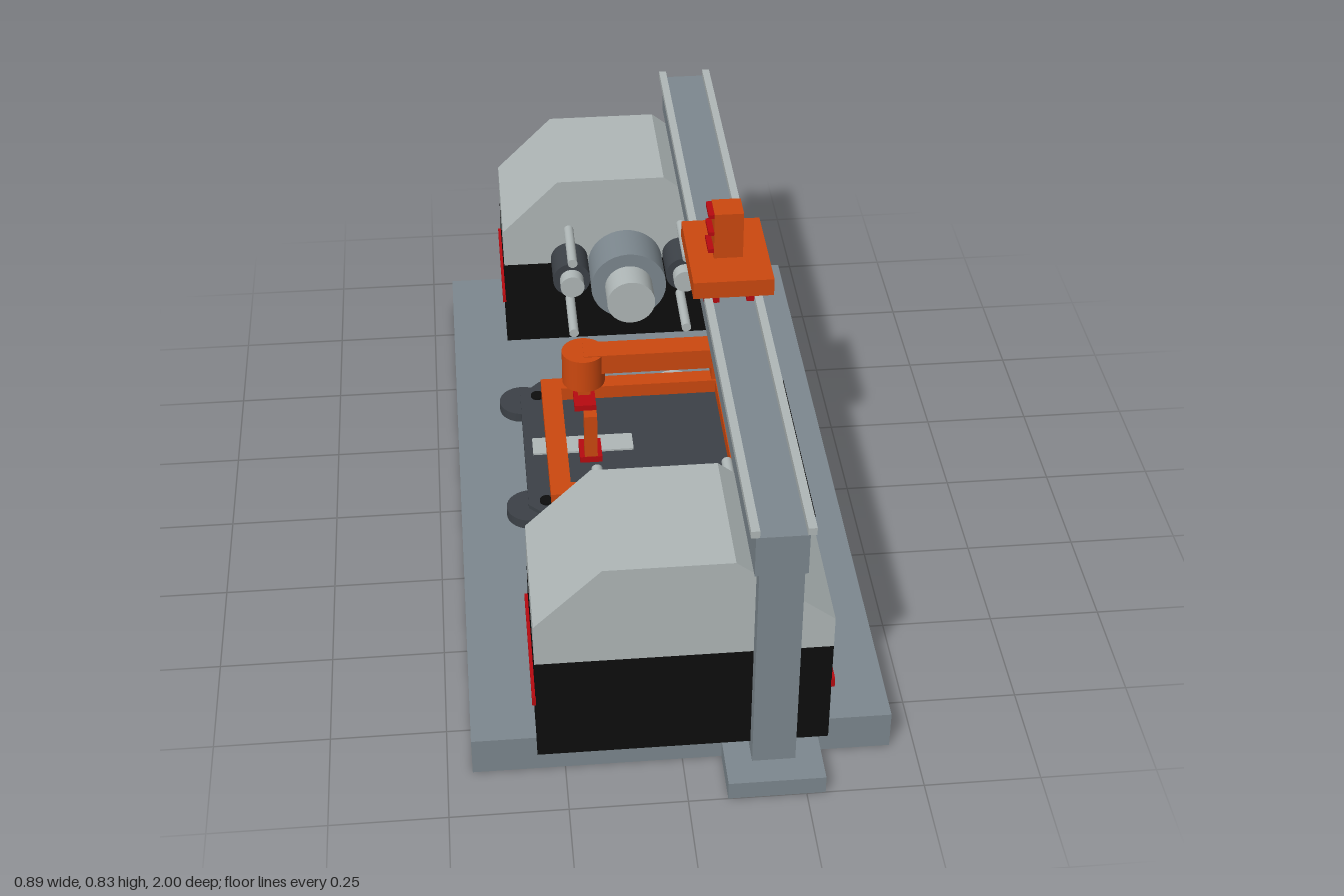
import * as THREE from 'three';

const mat = (name, color) => {
  const m = new THREE.MeshStandardMaterial({ color });
  m.name = name;
  return m;
};

export function createModel() {
  const grey = mat('steel grey', 0x7d888f);
  const light = mat('light grey', 0xb0b8b8);
  const dark = mat('dark grey', 0x3c4147);
  const black = mat('black', 0x0d0d0d);
  const orange = mat('orange', 0xcc480f);
  const red = mat('red', 0xb80a10);

  const model = new THREE.Group();
  model.name = 'machiningCell';

  const add = (parent, name, geo, material) => {
    const mesh = new THREE.Mesh(geo, material);
    mesh.name = name;
    parent.add(mesh);
    return mesh;
  };
  // Box given by its minimum and maximum on each axis
  const box = (parent, name, material, x0, x1, y0, y1, z0, z1) => {
    const mesh = add(parent, name, new THREE.BoxGeometry(x1 - x0, y1 - y0, z1 - z0), material);
    mesh.position.set((x0 + x1) / 2, (y0 + y1) / 2, (z0 + z1) / 2);
    return mesh;
  };
  // Upright cylinder
  const cylY = (parent, name, material, x, z, r, y0, y1) => {
    const mesh = add(parent, name, new THREE.CylinderGeometry(r, r, y1 - y0, 32), material);
    mesh.position.set(x, (y0 + y1) / 2, z);
    return mesh;
  };
  // Cylinder lying along z
  const cylZ = (parent, name, material, x, y, r, z0, z1) => {
    const geo = new THREE.CylinderGeometry(r, r, Math.abs(z1 - z0), 32).rotateX(Math.PI / 2);
    const mesh = add(parent, name, geo, material);
    mesh.position.set(x, y, (z0 + z1) / 2);
    return mesh;
  };

  box(model, 'base', grey, -0.447, 0.447, 0, 0.09, -0.876, 0.876);

  // Headstock cover outline, extruded along z
  const hood = new THREE.Shape([
    [-0.309, 0.325], [0.307, 0.325], [0.307, 0.4], [0.1, 0.565], [-0.168, 0.565], [-0.309, 0.425],
  ].map(([x, y]) => new THREE.Vector2(x, y)));

  for (const s of [1, -1]) {
    const head = new THREE.Group();
    head.name = s > 0 ? 'frontHeadstock' : 'backHeadstock';
    model.add(head);
    box(head, 'housing', black, -0.309, 0.307, 0.068, 0.325, s * 0.743 - 0.161, s * 0.743 + 0.161);
    const hoodGeo = new THREE.ExtrudeGeometry(hood, { depth: 0.322, bevelEnabled: false });
    add(head, 'hood', hoodGeo, light).position.z = s * 0.743 - 0.161;
    for (const x of [-0.312, 0.31]) {
      box(head, 'stripe', red, x - 0.004, x + 0.004, 0.212, 0.234, s * 0.743 - 0.162, s * 0.743 + 0.162);
    }

    // Spindle with smaller tools and guide rods on both sides
    cylZ(head, 'spindle', grey, 0, 0.327, 0.095, s * 0.57, s * 0.455);
    cylZ(head, 'spindleNose', light, 0, 0.327, 0.06, s * 0.46, s * 0.38);
    for (const x of [-0.143, 0.143]) {
      cylZ(head, 'sideSpindle', dark, x, 0.345, 0.047, s * 0.57, s * 0.47);
      cylZ(head, 'sideSpindleNose', light, x, 0.345, 0.03, s * 0.48, s * 0.435);
      for (const y of [0.222, 0.432]) cylZ(head, 'guideRod', light, x, y, 0.012, s * 0.57, s * 0.41);
    }

    // Gantry support
    box(model, 'foot', grey, 0.084, 0.29, 0, 0.043, s * 0.91 - 0.09, s * 0.91 + 0.09);
    box(model, 'column', grey, 0.141, 0.233, 0.043, 0.56, s * 0.896 - 0.042, s * 0.896 + 0.042);

    // Rollers beside the table
    for (const x of [-0.1, 0.1]) cylZ(model, 'roller', light, x, 0.093, 0.05, s * 0.25, s * 0.34);
  }

  // Gantry beam and rails
  box(model, 'beam', grey, 0.132, 0.24, 0.557, 0.655, -0.938, 0.938);
  for (const x of [0.131, 0.244]) box(model, 'rail', light, x - 0.009, x + 0.009, 0.655, 0.672, -0.938, 0.938);

  // Carriage, ram and arm
  const loader = new THREE.Group();
  loader.name = 'loader';
  model.add(loader);
  box(loader, 'carriage', orange, 0.096, 0.278, 0.676, 0.718, -0.13, 0.13);
  for (const x of [0.139, 0.235]) {
    for (const z of [-0.09, 0.09]) box(loader, 'bearing', red, x - 0.017, x + 0.017, 0.656, 0.677, z - 0.03, z + 0.03);
  }
  box(loader, 'ram', orange, 0.153, 0.219, 0.38, 0.833, -0.033, 0.033);
  for (const y of [0.736, 0.781, 0.826]) box(loader, 'ramTab', red, 0.14, 0.155, y - 0.005, y + 0.005, -0.03, 0.03);
  box(loader, 'arm', orange, -0.145, 0.16, 0.41, 0.461, -0.029, 0.029);
  cylY(loader, 'gripperHub', orange, -0.145, 0, 0.05, 0.375, 0.459);
  for (const s of [1, -1]) {
    const z = s * 0.121;
    box(loader, 'finger', orange, -0.153, -0.123, 0.24, 0.365, z - 0.013, z + 0.013);
    box(loader, 'fingerPad', red, -0.164, -0.112, 0.234, 0.25, s * 0.1 - 0.035, s * 0.1 + 0.035);
  }

  // Table with pallet
  box(model, 'table', black, -0.2, 0.374, 0.089, 0.145, -0.268, 0.268);
  cylY(model, 'pivot', light, 0, 0, 0.045, 0.14, 0.16);

  const c = 0.05;
  const pallet = new THREE.Shape([
    [-0.29 + c, -0.265], [0.29 - c, -0.265], [0.29, -0.265 + c], [0.29, 0.265 - c],
    [0.29 - c, 0.265], [-0.29 + c, 0.265], [-0.29, 0.265 - c], [-0.29, -0.265 + c],
  ].map(([x, y]) => new THREE.Vector2(x, y)));
  const palletGeo = new THREE.ExtrudeGeometry(pallet, { depth: 0.024, bevelEnabled: false }).rotateX(-Math.PI / 2);
  add(model, 'pallet', palletGeo, dark).position.y = 0.158;
  for (const x of [-0.285, 0.285]) {
    for (const z of [-0.205, 0.205]) {
      cylY(model, 'cornerDisc', dark, x, z, 0.056, 0.148, 0.172);
      cylY(model, 'cornerPin', black, x * 0.87, z, 0.016, 0.17, 0.187);
    }
  }
  box(model, 'palletStrip', light, -0.27, -0.03, 0.178, 0.187, -0.03, 0.03);

  // Rectangular frame on the pallet
  const rect = (Kind, w, d) => new Kind([[-w, -d], [w, -d], [w, d], [-w, d]].map(([x, y]) => new THREE.Vector2(x, y)));
  const frame = rect(THREE.Shape, 0.238, 0.227);
  frame.holes.push(rect(THREE.Path, 0.19, 0.184));
  const frameGeo = new THREE.ExtrudeGeometry(frame, { depth: 0.036, bevelEnabled: false }).rotateX(-Math.PI / 2);
  add(model, 'frame', frameGeo, orange).position.y = 0.181;

  return model;
}
